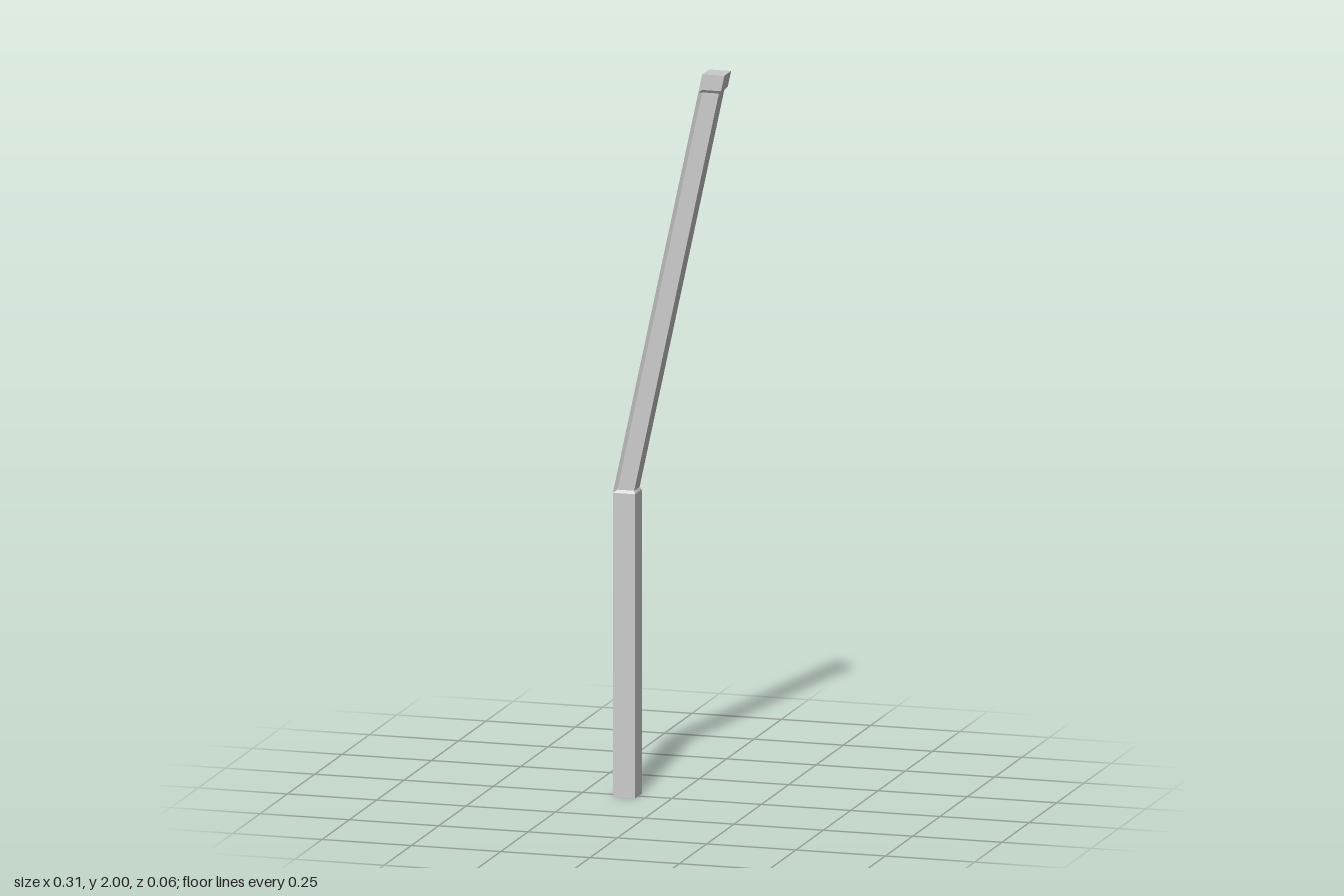
import * as THREE from 'three';

const W = 0.062; // section width and depth
const H = W / 2;
const INSET = 0.006; // recess of the arm's front, back and right faces
const RIM = 0.009; // sloped rim along the arm's outer edge

// Cross-section at height y with its outer edge at x, counter-clockwise from above
function ring(x, y, inset = 0) {
  const half = H - inset;
  const right = x + W - inset;
  return [
    [x, y, H], [x + RIM, y, half], [right, y, half],
    [right, y, -half], [x + RIM, y, -half], [x, y, -H],
  ];
}

// Joins successive rings with flat walls, optionally closing the top
function loft(name, rings, closeTop, material) {
  const pos = [];
  const tri = (a, b, c) => pos.push(...a, ...b, ...c);
  for (let r = 0; r < rings.length - 1; r++) {
    const lo = rings[r], hi = rings[r + 1];
    for (let i = 0; i < lo.length; i++) {
      const j = (i + 1) % lo.length;
      tri(lo[i], lo[j], hi[j]);
      tri(lo[i], hi[j], hi[i]);
    }
  }
  if (closeTop) {
    const top = rings[rings.length - 1];
    for (let i = 1; i < top.length - 1; i++) tri(top[0], top[i], top[i + 1]);
  }
  const geometry = new THREE.BufferGeometry();
  geometry.setAttribute('position', new THREE.Float32BufferAttribute(pos, 3));
  geometry.computeVertexNormals();
  const mesh = new THREE.Mesh(geometry, material);
  mesh.name = name;
  return mesh;
}

export function createModel() {
  const group = new THREE.Group();
  group.name = 'bentPost';
  const material = new THREE.MeshStandardMaterial({
    color: 0xcccccc, flatShading: true, side: THREE.DoubleSide,
  });

  const bend = 0.835, capBase = 1.957, top = 2;
  const left = -0.156;
  const lean = 0.25 / (top - bend);
  const armRing = (y, inset) => ring(left + (y - bend) * lean, y, inset);

  // Upright post, open underneath
  group.add(loft('post', [ring(left, 0), ring(left, bend)], false, material));
  // Leaning arm, recessed on three sides between the post and the cap
  group.add(loft('arm', [
    armRing(bend, 0), armRing(bend + 0.008, INSET),
    armRing(capBase - 0.008, INSET), armRing(capBase, 0),
  ], false, material));
  // Full-width cap following the lean
  group.add(loft('cap', [armRing(capBase, 0), armRing(top, 0)], true, material));
  return group;
}
